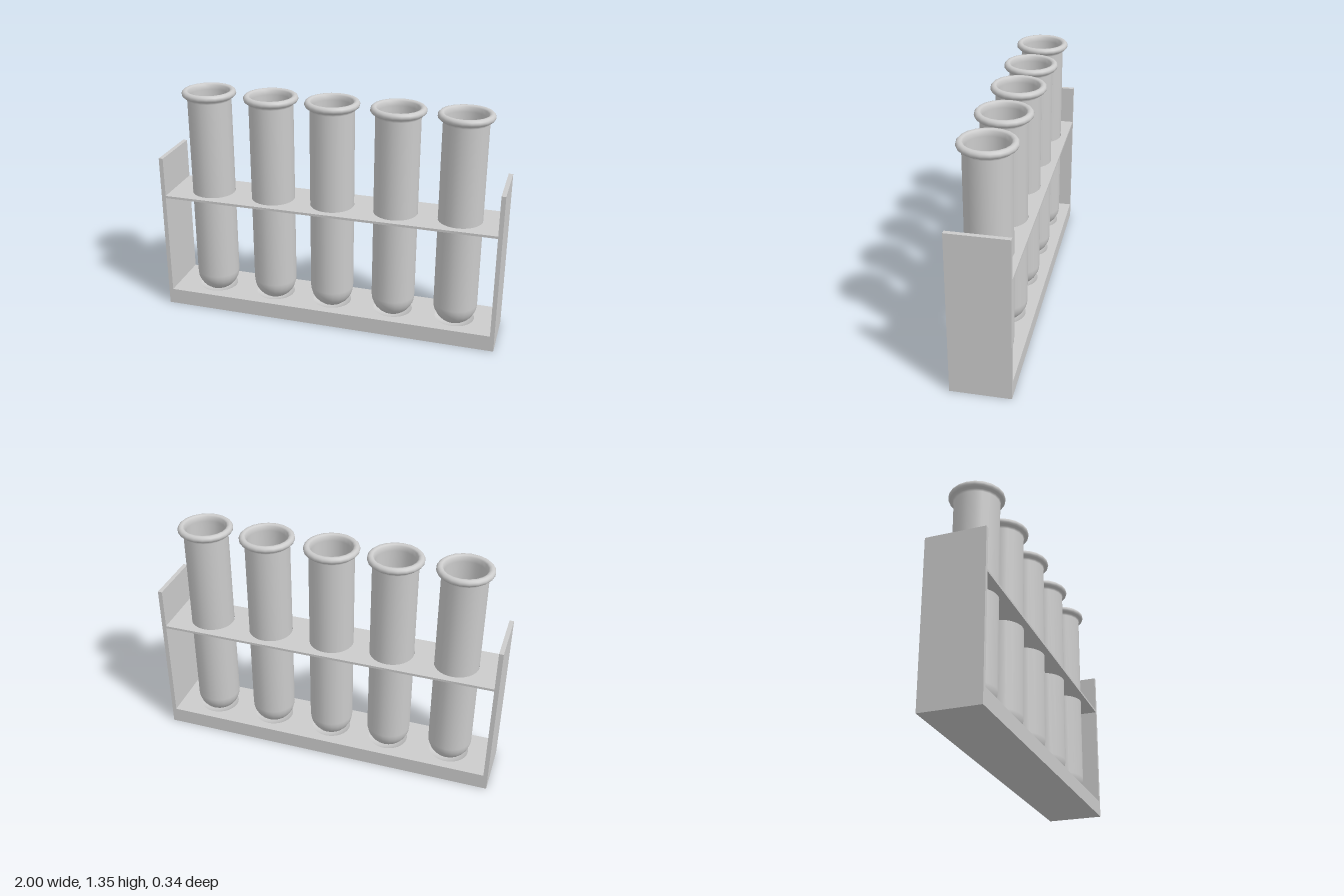
import * as THREE from 'three';

const TUBE_X = [-0.735, -0.36, 0, 0.375, 0.745];
const R = 0.127, DEPTH = 0.336, INNER = 0.975, BASE_TOP = 0.095;
const SEGMENTS = 20;

const material = new THREE.MeshStandardMaterial({ color: 0xcccccc });

function add(group, name, geometry, x = 0, y = 0, z = 0) {
  const mesh = new THREE.Mesh(geometry, material);
  mesh.name = name;
  mesh.position.set(x, y, z);
  group.add(mesh);
  return mesh;
}

// Rectangle of the rack's inner footprint, with a round hole per tube
function perforatedShape(radius) {
  const d = DEPTH / 2;
  const shape = new THREE.Shape([[-INNER, -d], [INNER, -d], [INNER, d], [-INNER, d]]
    .map(([x, y]) => new THREE.Vector2(x, y)));
  for (const x of TUBE_X) {
    shape.holes.push(new THREE.Path().absarc(x, 0, radius, 0, Math.PI * 2, true));
  }
  return shape;
}

// Points along a circular arc, angles in degrees
function arc(cx, cy, r, from, to, steps) {
  return Array.from({ length: steps + 1 }, (_, i) => {
    const a = THREE.MathUtils.degToRad(from + (to - from) * i / steps);
    return new THREE.Vector2(Math.max(0, cx + r * Math.cos(a)), cy + r * Math.sin(a));
  });
}

// Closed wall: round outer bottom, flared rolled rim, inner wall and inner bottom
function tubeGeometry() {
  const centreY = 0.194, inner = 0.113;
  return new THREE.LatheGeometry([
    ...arc(0, centreY, R, -90, 0, 8),
    new THREE.Vector2(R, 1.29),
    new THREE.Vector2(0.132, 1.303),
    ...arc(0.136, 1.325, 0.02, -60, 150, 7),
    new THREE.Vector2(inner, 1.31),
    ...arc(0, centreY, inner, 0, -90, 8),
  ], SEGMENTS);
}

export function createModel() {
  const model = new THREE.Group();
  model.name = 'testTubeRack';

  // Base block: box without its top, closed by a perforated floor
  const block = new THREE.BoxGeometry(INNER * 2, BASE_TOP, DEPTH);
  block.setIndex([...block.index.array].filter((_, i) => i < 12 || i >= 18));
  add(model, 'base', block, 0, BASE_TOP / 2, 0);
  const floor = new THREE.ShapeGeometry(perforatedShape(0.115), 16).rotateX(-Math.PI / 2);
  add(model, 'baseTop', floor, 0, BASE_TOP, 0);

  // Side panels
  for (const side of [-1, 1]) {
    add(model, side > 0 ? 'leftPanel' : 'rightPanel',
      new THREE.BoxGeometry(1 - INNER, 0.955, DEPTH), side * (1 + INNER) / 2, 0.955 / 2, 0);
  }

  // Thin shelf that holds the tubes upright
  const shelf = new THREE.ExtrudeGeometry(perforatedShape(R + 0.001),
    { depth: 0.014, bevelEnabled: false, curveSegments: 16 }).rotateX(-Math.PI / 2);
  add(model, 'shelf', shelf, 0, 0.707, 0);

  // Tubes, each seated in a shallow dish in the base
  const tube = tubeGeometry();
  const dish = new THREE.LatheGeometry([[0.115, BASE_TOP], [0.085, 0.077], [0.045, 0.064], [0, 0.06]]
    .map(([x, y]) => new THREE.Vector2(x, y)), 32);
  TUBE_X.forEach((x, i) => {
    add(model, `dish${i + 1}`, dish, x);
    add(model, `testTube${i + 1}`, tube, x);
  });

  return model;
}
